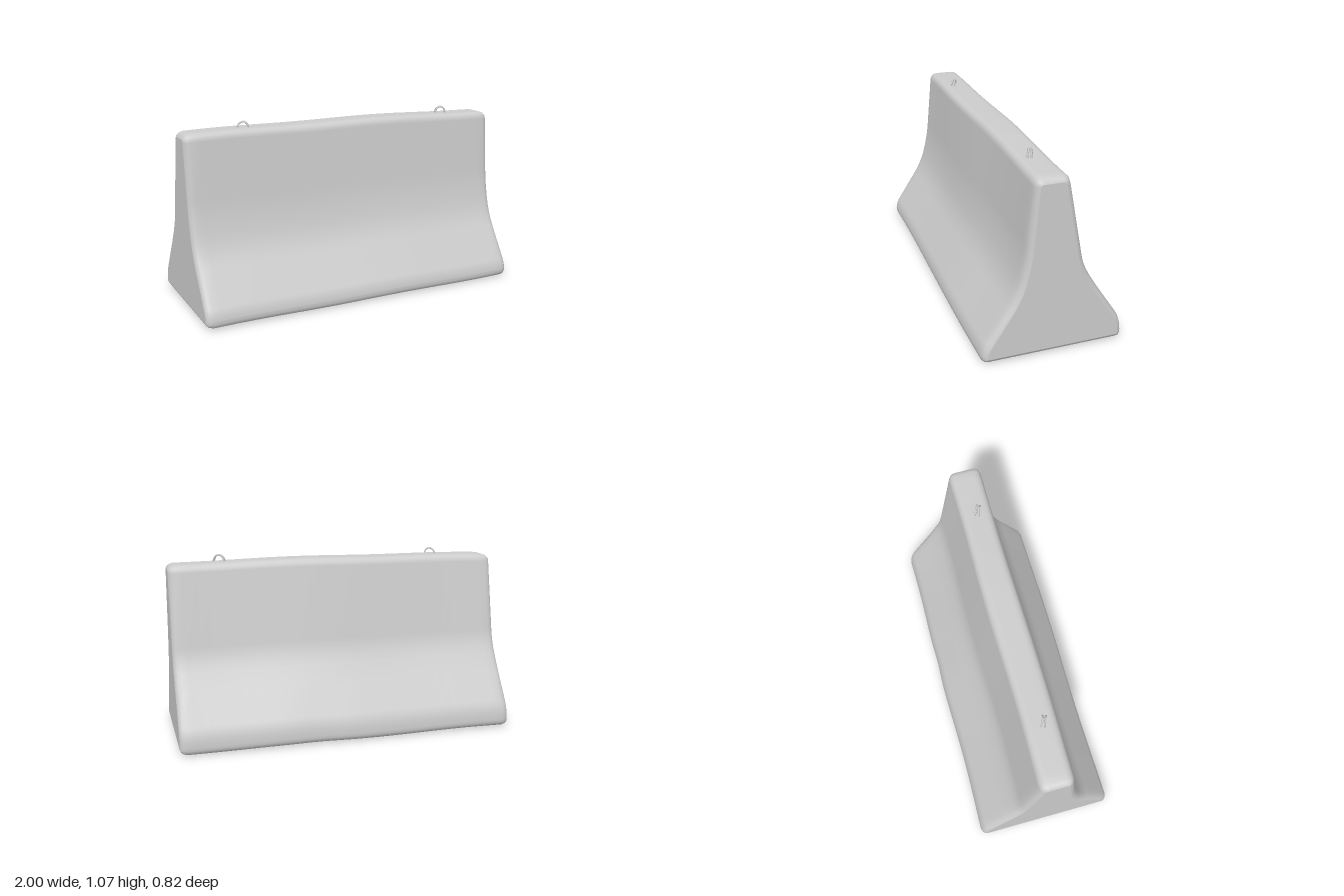
import * as THREE from 'three';

const concrete = new THREE.MeshStandardMaterial({ color: 0xcccccc });
concrete.name = 'pale concrete';

// Corners of the cross-section: z, y, rounding. Front foot, over the top, to back foot.
const corners = [
  [0.412, 0.007, 0.045], [0.402, 0.09, 0.035], [0.215, 0.385, 0.09], [0.167, 0.58, 0.09],
  [0.122, 1.036, 0.045], [-0.064, 1.036, 0.045],
  [-0.167, 0.5, 0.07], [-0.235, 0.38, 0.06], [-0.402, 0.125, 0.05], [-0.412, 0.007, 0.045],
].map(([z, y, r]) => ({ p: new THREE.Vector2(z, y), r }));

function roundedProfile() {
  const points = [];
  corners.forEach(({ p, r }, i) => {
    const n = corners.length;
    const toward = (q) => q.clone().sub(p).setLength(r).add(p);
    const a = toward(corners[(i + n - 1) % n].p);
    const b = toward(corners[(i + 1) % n].p);
    points.push(...new THREE.QuadraticBezierCurve(a, p, b).getPoints(5));
  });
  return points;
}

// Move every profile point inward along its own normal
function inset(points, d) {
  const n = points.length;
  return points.map((p, i) => {
    const t = points[(i + 1) % n].clone().sub(points[(i + n - 1) % n]).normalize();
    return new THREE.Vector2(p.x - t.y * d, p.y + t.x * d);
  });
}

// Gentle unevenness of worn concrete along the length
function worn(x, p) {
  const side = p.x < 0 ? 0.006 * Math.sin(5 * x + 1) - 0.008 * Math.exp(-(((x - 0.18) / 0.12) ** 2)) * (p.y < 0.3 ? 1 : 0)
    : 0.004 * Math.sin(4 * x + 3 * p.y);
  const z = p.x + Math.sign(p.x) * side * Math.min(1, Math.abs(p.x) / 0.1);
  const y = p.y + p.y * (0.004 - 0.012 * x * x) + 0.003 * Math.sin(6 * x);
  return [x, y, z];
}

function bodyGeometry() {
  const profile = roundedProfile();
  const n = profile.length;

  // Stations along x, drawn in at both rounded ends
  const end = [[1, 0.03], [0.994, 0.017], [0.982, 0.007], [0.96, 0]];
  const stations = end.map(([x, d]) => [-x, d]);
  for (let k = -11; k <= 11; k++) stations.push([k / 12, 0]);
  stations.push(...end.slice().reverse());

  const positions = [];
  const index = [];
  const rings = stations.map(([x, d]) => inset(profile, d));
  stations.forEach(([x], j) => rings[j].forEach((p) => positions.push(...worn(x, p))));
  for (let j = 0; j < stations.length - 1; j++) {
    for (let i = 0; i < n; i++) {
      const k = (i + 1) % n;
      const a = j * n + i, b = a + n, c = (j + 1) * n + k, d = j * n + k;
      index.push(a, b, c, a, c, d);
    }
  }

  // End faces, with their own corners so they stay flat
  [0, stations.length - 1].forEach((j) => {
    const base = positions.length / 3;
    rings[j].forEach((p) => positions.push(...worn(stations[j][0], p)));
    THREE.ShapeUtils.triangulateShape(rings[j], []).forEach(([a, b, c]) => {
      index.push(...(j === 0 ? [a, b, c] : [a, c, b]).map((v) => v + base));
    });
  });

  const geometry = new THREE.BufferGeometry();
  geometry.setAttribute('position', new THREE.Float32BufferAttribute(positions, 3));
  geometry.setIndex(index);
  geometry.computeVertexNormals();
  return geometry;
}

// Lifting eye made of two bent strands
function liftingLoop(x, z) {
  const loop = new THREE.Group();
  loop.name = 'liftingLoop';
  for (const s of [-1, 1]) {
    const path = new THREE.CatmullRomCurve3([
      [-0.034, -0.02], [-0.03, 0.015], [-0.014, 0.033], [0.008, 0.036], [0.025, 0.02], [0.032, -0.02],
    ].map(([u, v]) => new THREE.Vector3(u, v, s * (0.012 - 0.15 * Math.max(0, v)))));
    const strand = new THREE.Mesh(new THREE.TubeGeometry(path, 14, 0.005, 6), concrete);
    strand.name = 'loopStrand';
    loop.add(strand);
  }
  loop.position.set(x, 1.032, z);
  loop.rotation.y = -0.4;
  return loop;
}

export function createModel() {
  const model = new THREE.Group();
  model.name = 'concreteBarrier';
  const body = new THREE.Mesh(bodyGeometry(), concrete);
  body.name = 'barrierBody';
  model.add(body, liftingLoop(-0.635, 0.05), liftingLoop(0.695, 0.04));
  return model;
}
